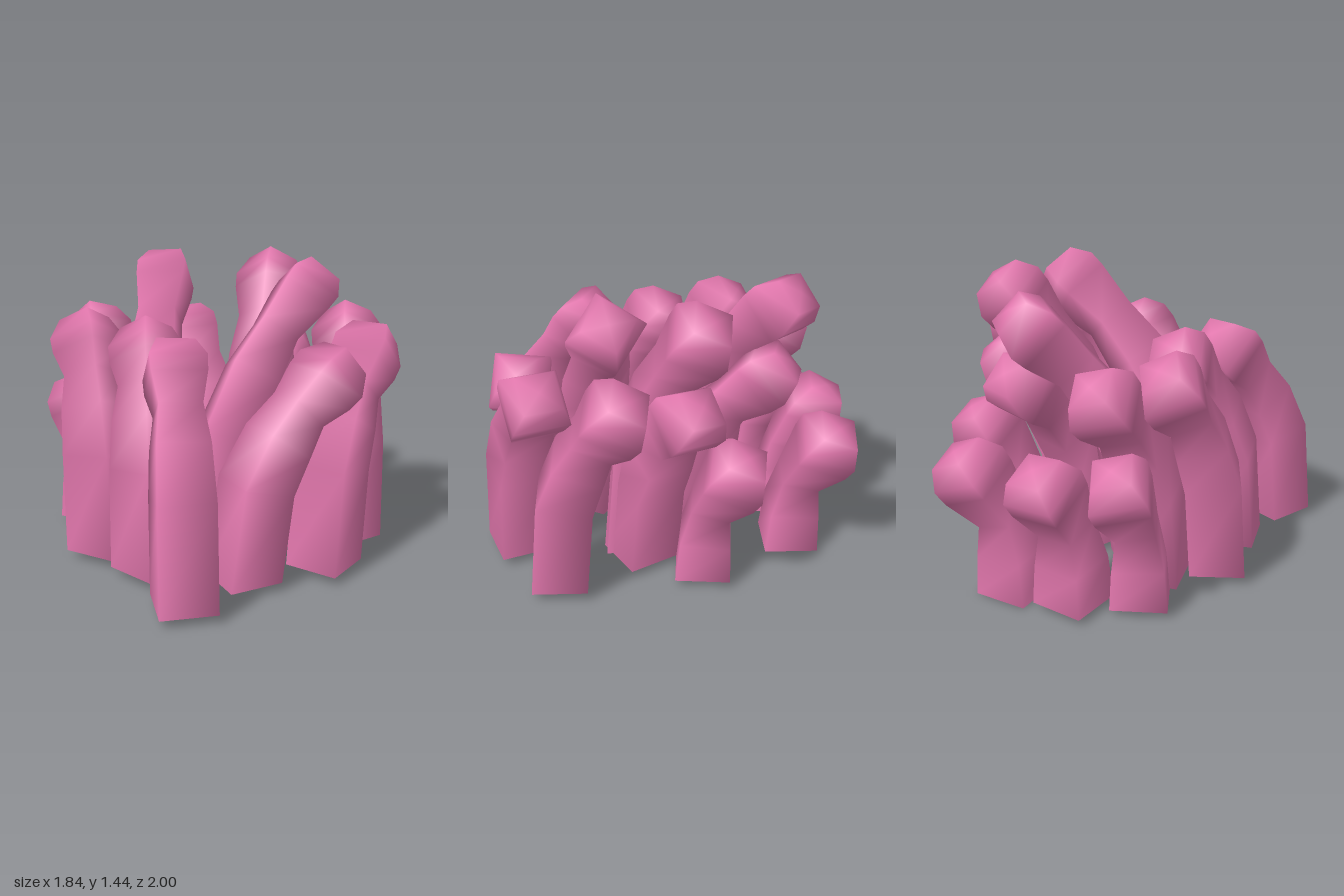
import * as THREE from 'three';

// Rings below the bulb as [share of lean, share of height, corner radius]
const TALL = [[0, 0, 0.185], [0.15, 0.5, 0.182], [0.42, 0.72, 0.168], [0.68, 0.87, 0.138]];
const LOW = [[0, 0, 0.185], [0.06, 0.35, 0.167], [0.24, 0.66, 0.13]];
// Bulb rings as [distance along its axis from the centre, corner radius]
const BULB = [[-0.03, 0.178], [0.05, 0.183], [0.15, 0.125]];

// One stalk: square rings lofted along a leaning path, open at the foot, closed at the tip.
function stalkGeometry(base, tip, yaw, foot) {
  const shaft = tip[1] < 0.8 ? LOW : TALL;
  const rings = shaft.map(([h, v, r]) => ({
    p: new THREE.Vector3(
      base[0] + (tip[0] - base[0]) * h,
      foot + (tip[1] - foot) * v,
      base[1] + (tip[2] - base[1]) * h
    ), r
  }));
  const centre = new THREE.Vector3(...tip);
  const axis = centre.clone().sub(rings[rings.length - 1].p).normalize();
  BULB.forEach(([d, r]) => rings.push({ p: centre.clone().addScaledVector(axis, d), r }));

  const up = new THREE.Vector3(0, 1, 0);
  const last = rings.length - 1;
  const positions = [], index = [];
  rings.forEach(({ p, r }, i) => {
    const tangent = i === 0 ? up
      : rings[Math.min(i + 1, last)].p.clone().sub(rings[i - 1].p).normalize();
    const q = new THREE.Quaternion().setFromUnitVectors(up, tangent);
    for (let k = 0; k < 4; k++) {
      const a = THREE.MathUtils.degToRad(yaw + 45 + k * 90);
      const v = new THREE.Vector3(Math.cos(a), 0, Math.sin(a))
        .multiplyScalar(r).applyQuaternion(q).add(p);
      positions.push(v.x, v.y, v.z);
    }
  });
  for (let i = 0; i < last; i++) {
    for (let k = 0; k < 4; k++) {
      const a = i * 4 + k, b = i * 4 + (k + 1) % 4;
      index.push(a, a + 4, b, b, a + 4, b + 4);
    }
  }
  // slightly domed tip
  const c = rings[last].p.clone().addScaledVector(axis, 0.012);
  const e = last * 4;
  positions.push(c.x, c.y, c.z);
  for (let k = 0; k < 4; k++) index.push(e + k, e + 4, e + (k + 1) % 4);

  const g = new THREE.BufferGeometry();
  g.setAttribute('position', new THREE.Float32BufferAttribute(positions, 3));
  g.setIndex(index);
  g.computeVertexNormals();
  return g;
}

export function createModel() {
  const group = new THREE.Group();
  group.name = 'stalkCluster';
  const pink = new THREE.MeshStandardMaterial({ color: 0xe277ad, side: THREE.DoubleSide });
  pink.name = 'pink';

  // foot [x, z], bulb centre [x, y, z], turn of the square section in degrees, foot height
  const stalks = [
    // front row
    [[0.04, 0.83], [-0.07, 0.97, 0.49], 67, 0.04],
    [[-0.20, 0.49], [-0.28, 0.99, 0.19], 121, 0.04],
    [[-0.48, 0.31], [-0.62, 0.99, 0.04], 108, 0.04],
    [[0.25, 0.52], [0.57, 0.92, 0.24], 142, 0.04],
    [[0.60, 0.28], [0.74, 0.97, -0.04], 24, 0.04],
    // middle row
    [[0.07, 0.30], [0.42, 1.24, -0.17], 163, 0.04],
    [[0.20, -0.12], [0.21, 1.24, -0.51], 45, 0.04],
    [[-0.32, -0.01], [-0.36, 1.23, -0.52], 0, 0.03],
    [[-0.48, 0.01], [-0.66, 0.97, -0.27], 122, 0.04],
    [[0.67, -0.09], [0.63, 0.99, -0.41], 45, 0.04],
    [[0.00, -0.19], [-0.23, 0.93, -0.55], 62, 0.03],
    [[0.25, -0.22], [0.28, 0.88, -0.52], 15, 0.04],
    // low back row
    [[-0.66, -0.12], [-0.75, 0.60, -0.23], 20, 0.03],
    [[-0.60, -0.42], [-0.67, 0.60, -0.54], 50, 0.03],
    [[-0.39, -0.65], [-0.39, 0.59, -0.815], 45, 0],
    [[0.13, -0.52], [0.13, 0.60, -0.68], 50, 0.035]
  ];
  stalks.forEach(([base, tip, yaw, foot], i) => {
    const mesh = new THREE.Mesh(stalkGeometry(base, tip, yaw, foot), pink);
    mesh.name = 'stalk' + (i + 1);
    group.add(mesh);
  });
  return group;
}
